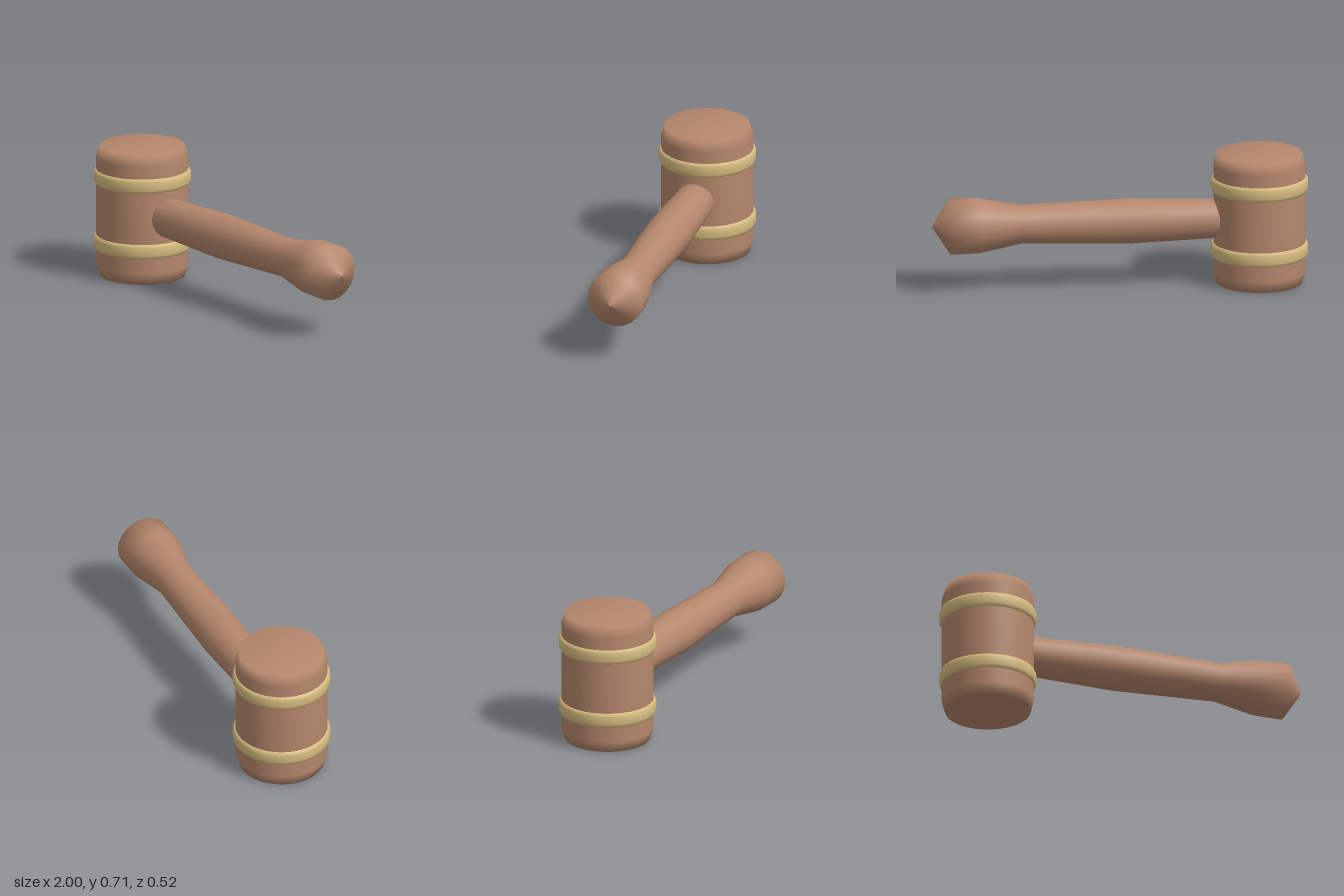
import * as THREE from 'three';

const wood = new THREE.MeshStandardMaterial({ name: 'wood', color: 0xb5876c });
const brass = new THREE.MeshStandardMaterial({ name: 'brass', color: 0xd6bc80 });

const HEAD_X = -0.742;
const MID_Y = 0.354;

// Turned part from [radius, height] pairs, listed bottom to top
function turned(name, profile, sides, material) {
  const points = profile.map(([r, y]) => new THREE.Vector2(r, y));
  const mesh = new THREE.Mesh(new THREE.LatheGeometry(points, sides), material);
  mesh.name = name;
  return mesh;
}

export function createModel() {
  const model = new THREE.Group();
  model.name = 'mallet';

  // Barrel-shaped head with chamfered ends
  const head = turned('head', [
    [0, 0], [0.226, 0], [0.244, 0.06], [0.244, 0.646], [0.226, 0.706], [0, 0.706],
  ], 40, wood);
  head.position.x = HEAD_X;
  model.add(head);

  // Two bands around the head
  for (const [name, y] of [['lowerBand', 0.184], ['upperBand', 0.542]]) {
    const band = turned(name, [
      [0.235, -0.038], [0.249, -0.038], [0.258, -0.021],
      [0.258, 0.021], [0.249, 0.038], [0.235, 0.038],
    ], 40, brass);
    band.position.set(HEAD_X, y, 0);
    model.add(band);
  }

  // Handle: gentle swell, flared grip and pointed butt, laid along +x
  const handle = turned('handle', [
    [0, -0.7], [0.098, -0.7], [0.105, -0.5], [0.12, -0.04], [0.103, 0.53],
    [0.147, 0.755], [0.15, 0.905], [0, 1],
  ], 20, wood);
  handle.rotation.z = -Math.PI / 2;
  handle.position.y = MID_Y;
  model.add(handle);

  return model;
}
